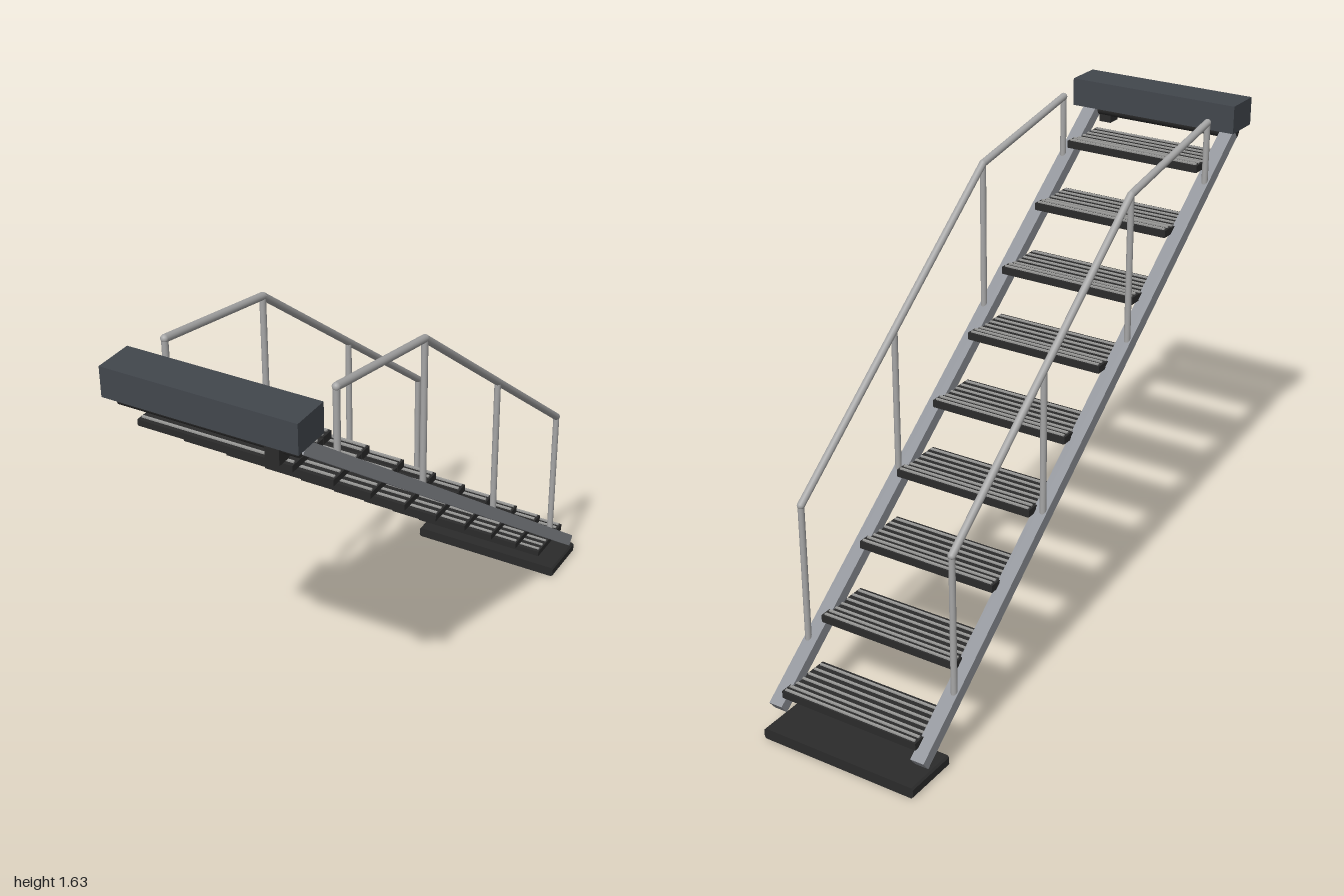
import * as THREE from 'three';

const mat = (name, color) => {
  const m = new THREE.MeshStandardMaterial({ color });
  m.name = name;
  return m;
};

export function createModel() {
  const model = new THREE.Group();
  model.name = 'staircase';
  const steel = mat('stringer steel', 0x8f9298);
  const tube = mat('rail tube', 0xa6a6a6);
  const housing = mat('housing slate', 0x42474d);
  const black = mat('tread black', 0x2b2b2b);
  const grip = mat('grip grey', 0x9a9a98);

  const box = (parent, name, material, size, pos) => {
    const mesh = new THREE.Mesh(new THREE.BoxGeometry(...size), material);
    mesh.name = name;
    mesh.position.set(...pos);
    parent.add(mesh);
    return mesh;
  };

  // Round bar between two points
  const bar = (parent, name, material, a, b, radius) => {
    const dir = b.clone().sub(a);
    const mesh = new THREE.Mesh(new THREE.CylinderGeometry(radius, radius, dir.length(), 16), material);
    mesh.name = name;
    mesh.position.copy(a).add(b).multiplyScalar(0.5);
    mesh.quaternion.setFromUnitVectors(new THREE.Vector3(0, 1, 0), dir.normalize());
    parent.add(mesh);
  };

  // Sloped stringers, and handrails above them
  const low = new THREE.Vector2(-0.945, 0.086), high = new THREE.Vector2(0.932, 1.515);
  const slope = (high.y - low.y) / (high.x - low.x);
  const length = low.distanceTo(high);
  const railPath = [[-0.77, 0.715], [0.24, 1.505], [0.745, 1.6]];
  const posts = [[-0.77, 0.715], [-0.27, 1.106], [0.24, 1.505], [0.745, 1.6]];
  for (const side of [-1, 1]) {
    const prefix = side > 0 ? 'left' : 'right';
    const stringer = box(model, prefix + 'Stringer', steel, [0.048, 0.04, length], [side * 0.266, (low.y + high.y) / 2, (low.x + high.x) / 2]);
    stringer.rotation.x = -Math.atan(slope);

    const railing = new THREE.Group();
    railing.name = prefix + 'Railing';
    const at = ([z, y]) => new THREE.Vector3(side * 0.275, y, z);
    for (let i = 0; i < railPath.length - 1; i++) {
      bar(railing, 'handrail', tube, at(railPath[i]), at(railPath[i + 1]), 0.0125);
    }
    for (const p of railPath) {
      const joint = new THREE.Mesh(new THREE.SphereGeometry(0.0125, 16, 10), tube);
      joint.name = 'railJoint';
      joint.position.copy(at(p));
      railing.add(joint);
    }
    for (const [z, y] of posts) {
      bar(railing, 'post', tube, at([z, low.y + (z - low.x) * slope]), at([z, y]), 0.0105);
    }
    model.add(railing);
  }

  // Nine treads with raised grip strips and a wider nosing
  for (let i = 0; i < 9; i++) {
    const tread = new THREE.Group();
    tread.name = 'tread' + (i + 1);
    tread.position.set(0, 0.135 + i * 0.1625, -0.84 + i * 0.209);
    box(tread, 'treadSlab', black, [0.496, 0.02, 0.2], [0, 0, 0]);
    box(tread, 'nosing', black, [0.5, 0.024, 0.042], [0, 0.003, -0.079]);
    for (const z of [-0.09, -0.068]) {
      box(tread, 'nosingGrip', grip, [0.486, 0.006, 0.008], [0, 0.017, z]);
    }
    for (let k = 0; k < 5; k++) {
      box(tread, 'gripStrip', grip, [0.486, 0.005, 0.008], [0, 0.012, -0.037 + k * 0.03]);
    }
    model.add(tread);
  }

  // Top housing with the shaft and bracket beneath it
  box(model, 'topHousing', housing, [0.62, 0.095, 0.13], [0, 1.58, 0.935]);
  bar(model, 'pivotShaft', black, new THREE.Vector3(-0.285, 1.515, 0.945), new THREE.Vector3(0.285, 1.515, 0.945), 0.024);
  box(model, 'pivotBracket', black, [0.045, 0.065, 0.05], [0.217, 1.502, 0.957]);

  // Ground pad with clipped ends
  const pad = new THREE.Shape();
  [[-0.28, 0.006], [-0.274, 0], [0.274, 0], [0.28, 0.006], [0.28, 0.031], [0.274, 0.037], [-0.274, 0.037], [-0.28, 0.031]]
    .forEach(([x, y], i) => (i ? pad.lineTo(x, y) : pad.moveTo(x, y)));
  const padMesh = new THREE.Mesh(new THREE.ExtrudeGeometry(pad, { depth: 0.19, bevelEnabled: false }), black);
  padMesh.name = 'groundPad';
  padMesh.position.z = -1;
  model.add(padMesh);

  return model;
}
